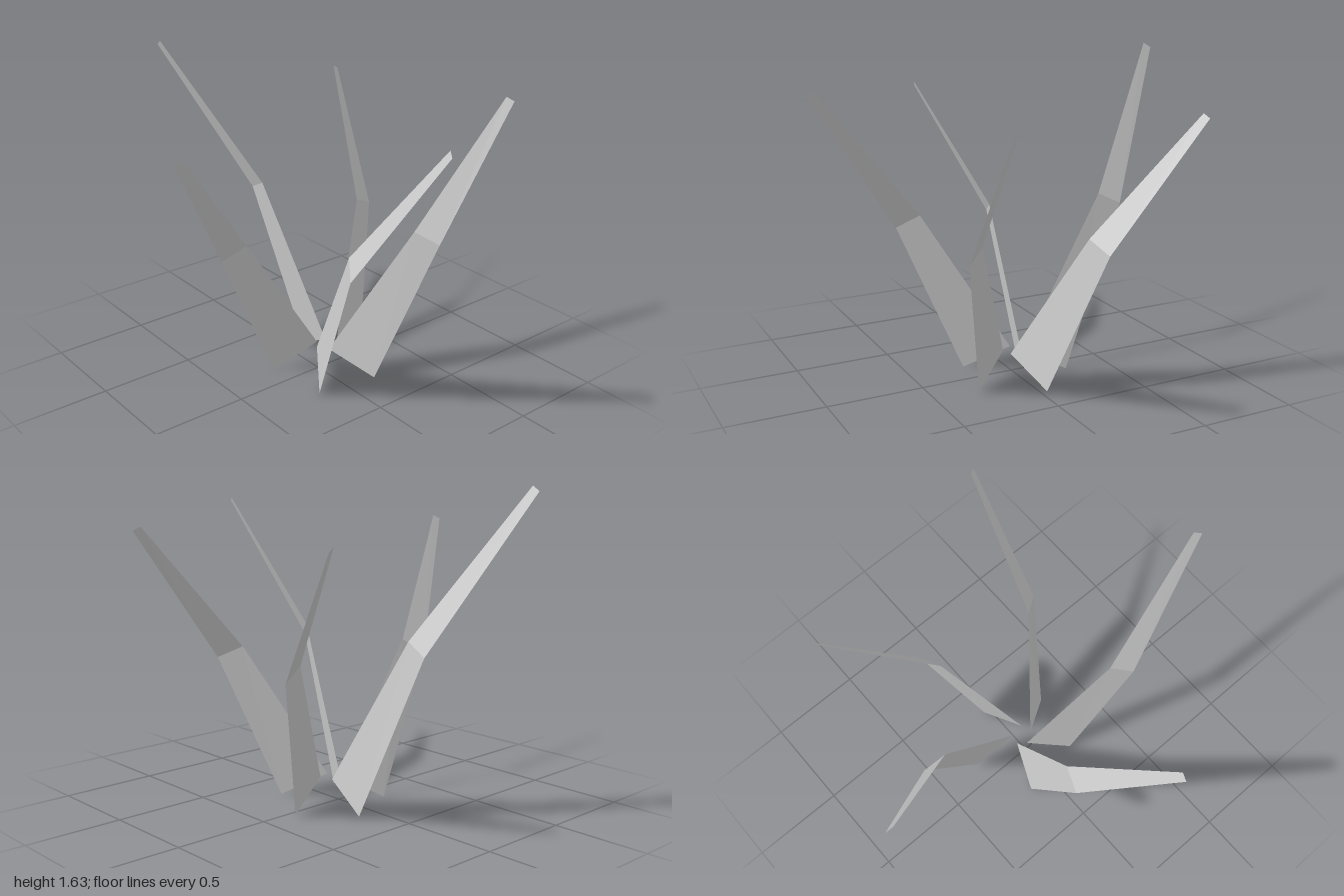
import * as THREE from 'three';

// Each blade: [outer edge point, inner edge point] at root, bend and tip
const BLADES = {
  backBlade: [
    [[0.11, 0, -0.265], [0.075, 0.13, -0.03]],
    [[0.04, 0.84, -0.62], [0.02, 0.90, -0.50]],
    [[-0.28, 1.605, -1.0], [-0.287, 1.63, -0.96]],
  ],
  backLeftBlade: [
    [[0.325, 0, -0.035], [0.085, 0.13, 0.047]],
    [[0.555, 0.735, -0.24], [0.43, 0.795, -0.20]],
    [[0.69, 1.38, -0.683], [0.653, 1.4, -0.673]],
  ],
  frontLeftBlade: [
    [[0.165, 0, 0.265], [0.025, 0.13, 0.06]],
    [[0.433, 0.745, 0.435], [0.355, 0.805, 0.33]],
    [[0.9, 1.41, 0.45], [0.878, 1.43, 0.415]],
  ],
  frontBlade: [
    [[-0.155, 0, 0.205], [-0.01, 0.13, 0.003]],
    [[-0.235, 0.78, 0.53], [-0.16, 0.85, 0.43]],
    [[-0.1, 1.49, 1.0], [-0.077, 1.51, 0.965]],
  ],
  rightBlade: [
    [[-0.2, 0, -0.13], [0.025, 0.13, -0.04]],
    [[-0.515, 0.735, -0.11], [-0.393, 0.8, -0.068]],
    [[-0.905, 1.395, 0.145], [-0.867, 1.415, 0.157]],
  ],
};

// Thin folded strip with a hard crease between its sections
function bladeGeometry(sections) {
  const p = [];
  for (let i = 0; i < sections.length - 1; i++) {
    const [a, b] = sections[i];
    const [c, d] = sections[i + 1];
    p.push(...a, ...b, ...d, ...a, ...d, ...c);
  }
  const g = new THREE.BufferGeometry();
  g.setAttribute('position', new THREE.Float32BufferAttribute(p, 3));
  g.computeVertexNormals();
  return g;
}

export function createModel() {
  const group = new THREE.Group();
  group.name = 'grassTuft';
  const grey = new THREE.MeshStandardMaterial({ color: 0xcccccc, side: THREE.DoubleSide });
  grey.name = 'pale grey';
  for (const [name, sections] of Object.entries(BLADES)) {
    const blade = new THREE.Mesh(bladeGeometry(sections), grey);
    blade.name = name;
    group.add(blade);
  }
  return group;
}
